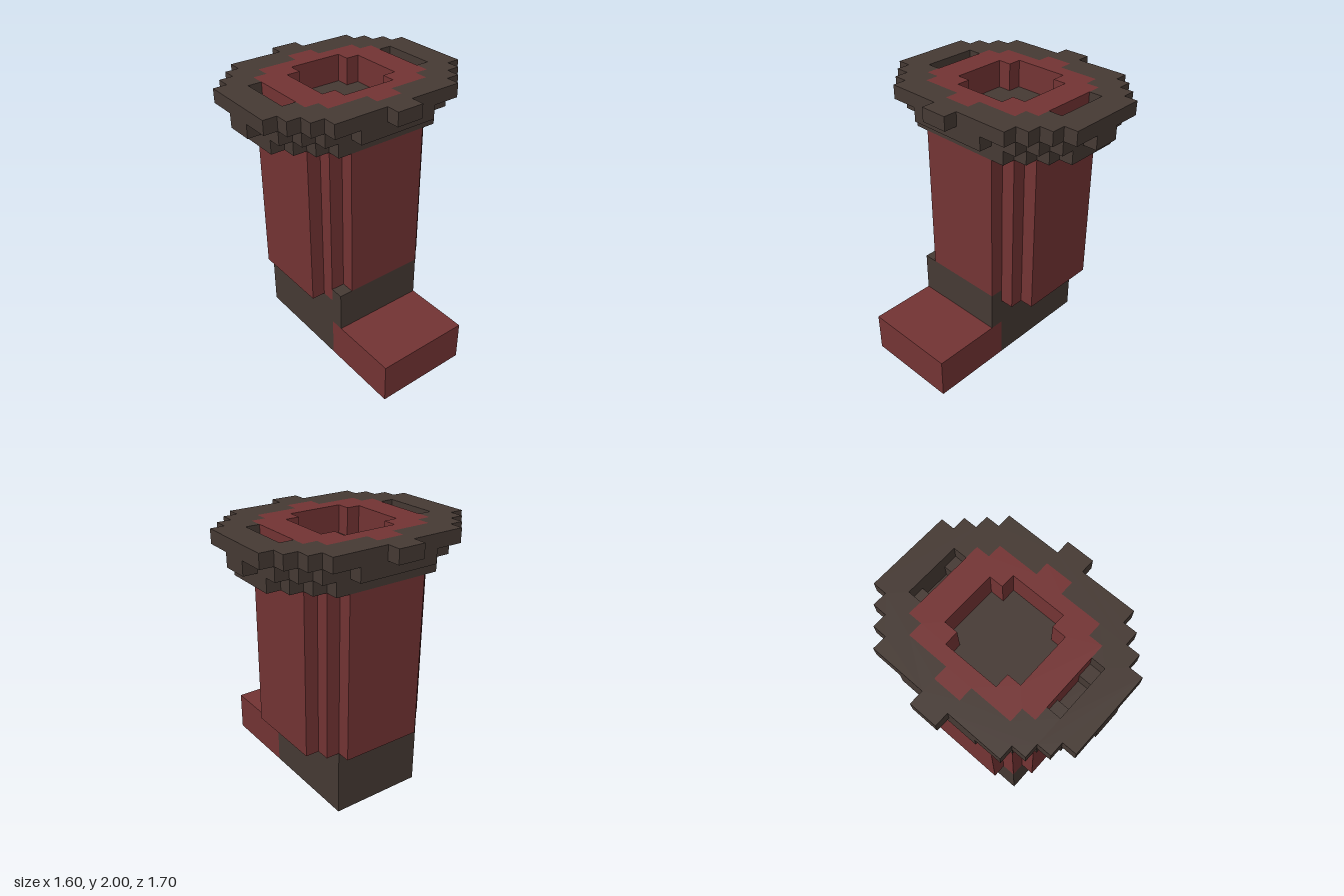
import * as THREE from 'three';

const CENTRE_Z = -0.15; // middle of the shaft and cuff

// Outline of stepped blocks, given one quadrant as [halfWidth, halfDepth] from widest to deepest
function outline(steps) {
  const q = [];
  steps.forEach(([x, z], i) => {
    q.push([x, z]);
    if (i + 1 < steps.length) q.push([steps[i + 1][0], z]);
  });
  const r = [...q].reverse();
  return [
    ...q,
    ...r.map(([x, z]) => [-x, z]),
    ...q.map(([x, z]) => [-x, -z]),
    ...r.map(([x, z]) => [x, -z]),
  ].map(([x, z]) => new THREE.Vector2(x, z));
}

export function createModel() {
  const model = new THREE.Group();
  model.name = 'boot';

  const red = new THREE.MeshStandardMaterial({ color: 0x743434 });
  red.name = 'dark red';
  const brown = new THREE.MeshStandardMaterial({ color: 0x463a34 });
  brown.name = 'dark brown';

  function add(name, geometry, material) {
    const mesh = new THREE.Mesh(geometry, material);
    mesh.name = name;
    model.add(mesh);
  }

  // Box from its lower and upper corners
  function box(name, material, [x0, y0, z0], [x1, y1, z1]) {
    const g = new THREE.BoxGeometry(x1 - x0, y1 - y0, z1 - z0);
    g.translate((x0 + x1) / 2, (y0 + y1) / 2, (z0 + z1) / 2);
    add(name, g, material);
  }

  // Upright slab with a stepped outline and an optional stepped hole
  function layer(name, material, y0, y1, steps, hole) {
    const shape = new THREE.Shape(outline(steps));
    if (hole) shape.holes.push(new THREE.Path(outline(hole)));
    const g = new THREE.ExtrudeGeometry(shape, { depth: y1 - y0, bevelEnabled: false });
    g.rotateX(-Math.PI / 2);
    g.translate(0, y0, CENTRE_Z);
    add(name, g, material);
  }

  // Foot
  box('toe', red, [-0.4, 0, 0.25], [0.3, 0.3, 0.85]);
  box('heel', brown, [-0.4, 0, -0.55], [0.3, 0.5, 0.25]);
  box('instep', brown, [-0.4, 0.3, 0.25], [0.3, 0.6, 0.35]);

  // Shaft with raised front and back panels
  layer('shaft', red, 0.5, 1.7, [[0.5, 0.3], [0.4, 0.4]]);
  box('shaftFrontPanel', red, [-0.3, 0.6, 0.25], [0.3, 1.7, 0.35]);
  box('shaftBackPanel', red, [-0.3, 0.5, -0.65], [0.3, 1.7, -0.55]);

  // Flared cuff; the holes leave a stepped side pocket beside the lining
  const lining = [[0.5, 0.3], [0.4, 0.4], [0.1, 0.5]];
  layer('cuffBottom', brown, 1.7, 1.8, [[0.7, 0.2], [0.6, 0.3], [0.5, 0.4], [0.4, 0.5]]);
  layer('cuffMiddle', brown, 1.8, 1.9,
    [[0.8, 0.1], [0.7, 0.3], [0.6, 0.4], [0.5, 0.5], [0.3, 0.6]], [[0.6, 0.1], ...lining]);
  layer('cuffTop', brown, 1.9, 2,
    [[0.8, 0.3], [0.7, 0.4], [0.6, 0.5], [0.5, 0.6], [0.1, 0.7]], [[0.6, 0.2], ...lining]);

  // Red lining around the opening
  layer('lining', red, 1.8, 2, lining, [[0.3, 0.2], [0.2, 0.3]]);

  return model;
}
